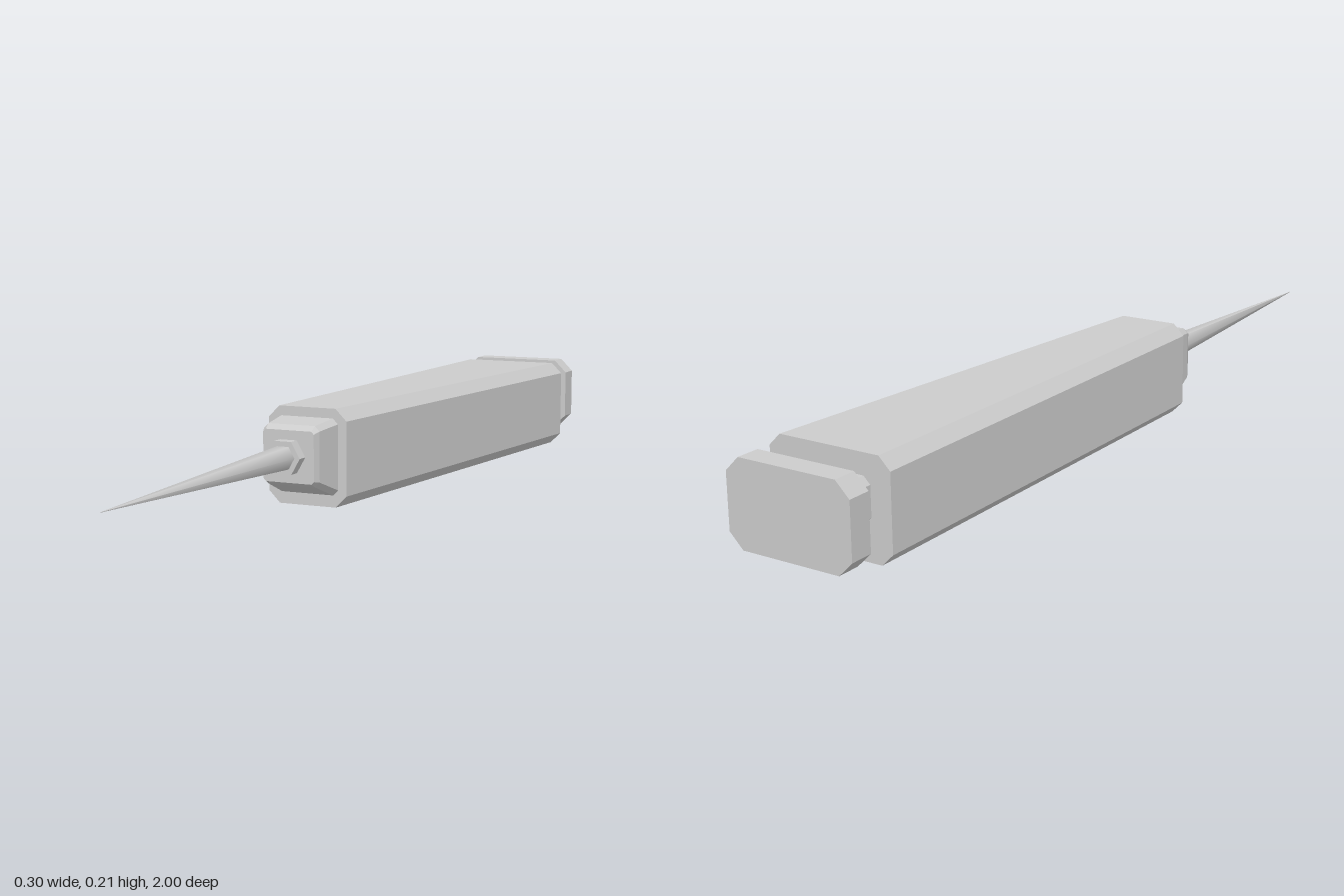
import * as THREE from 'three';

const material = new THREE.MeshStandardMaterial({ color: 0xcccccc, flatShading: true });
const smooth = new THREE.MeshStandardMaterial({ color: 0xcccccc });

// Rectangle with cut corners, counter-clockwise seen from +z
function section({ z, x: [x0, x1], y: [y0, y1], c }) {
  return [
    [x0 + c, y0, z], [x1 - c, y0, z], [x1, y0 + c, z], [x1, y1 - c, z],
    [x1 - c, y1, z], [x0 + c, y1, z], [x0, y1 - c, z], [x0, y0 + c, z],
  ];
}

// Closed solid through cut-corner sections listed from back to front
function loft(name, specs) {
  const rings = specs.map(section);
  const pos = [];
  const tri = (a, b, c) => pos.push(...a, ...b, ...c);
  for (let i = 0; i < rings.length - 1; i++) {
    for (let j = 0; j < 8; j++) {
      const k = (j + 1) % 8;
      tri(rings[i][j], rings[i][k], rings[i + 1][k]);
      tri(rings[i][j], rings[i + 1][k], rings[i + 1][j]);
    }
  }
  const back = rings[0], front = rings[rings.length - 1];
  for (let j = 1; j < 7; j++) {
    tri(back[0], back[j + 1], back[j]);
    tri(front[0], front[j], front[j + 1]);
  }
  const geo = new THREE.BufferGeometry();
  geo.setAttribute('position', new THREE.Float32BufferAttribute(pos, 3));
  geo.computeVertexNormals();
  const mesh = new THREE.Mesh(geo, material);
  mesh.name = name;
  return mesh;
}

// Six-sided rod along z, with points to the sides
function hexRod(name, rFront, rBack, z0, z1, mat) {
  const geo = new THREE.CylinderGeometry(rFront, rBack, z1 - z0, 6, 1, false, Math.PI / 6);
  geo.rotateX(Math.PI / 2);
  const mesh = new THREE.Mesh(geo, mat);
  mesh.position.set(-0.042, 0.119, (z0 + z1) / 2);
  mesh.name = name;
  return mesh;
}

export function createModel() {
  const model = new THREE.Group();
  model.name = 'needleTool';
  model.add(
    // Handle, widening to one side towards the back
    loft('handle', [
      { z: -0.865, x: [-0.135, 0.15], y: [0, 0.213], c: 0.026 },
      { z: 0.225, x: [-0.135, 0.052], y: [0, 0.213], c: 0.026 },
    ]),
    // Plunger at the back
    loft('plungerCap', [
      { z: -1, x: [-0.152, 0.134], y: [0.031, 0.211], c: 0.031 },
      { z: -0.948, x: [-0.152, 0.134], y: [0.031, 0.211], c: 0.031 },
    ]),
    loft('plungerStem', [
      { z: -0.96, x: [-0.088, 0.06], y: [0.074, 0.168], c: 0.015 },
      { z: -0.855, x: [-0.088, 0.06], y: [0.074, 0.168], c: 0.015 },
    ]),
    // Tapered nose with a bevelled rim
    loft('nose', [
      { z: 0.215, x: [-0.117, 0.033], y: [0.022, 0.193], c: 0.012 },
      { z: 0.295, x: [-0.108, 0.024], y: [0.054, 0.184], c: 0.011 },
      { z: 0.31, x: [-0.102, 0.018], y: [0.062, 0.174], c: 0.006 },
    ]),
    // Collar and needle
    hexRod('collar', 0.04, 0.04, 0.3, 0.335, material),
    hexRod('needle', 0.0005, 0.028, 0.32, 1, smooth),
  );
  return model;
}
